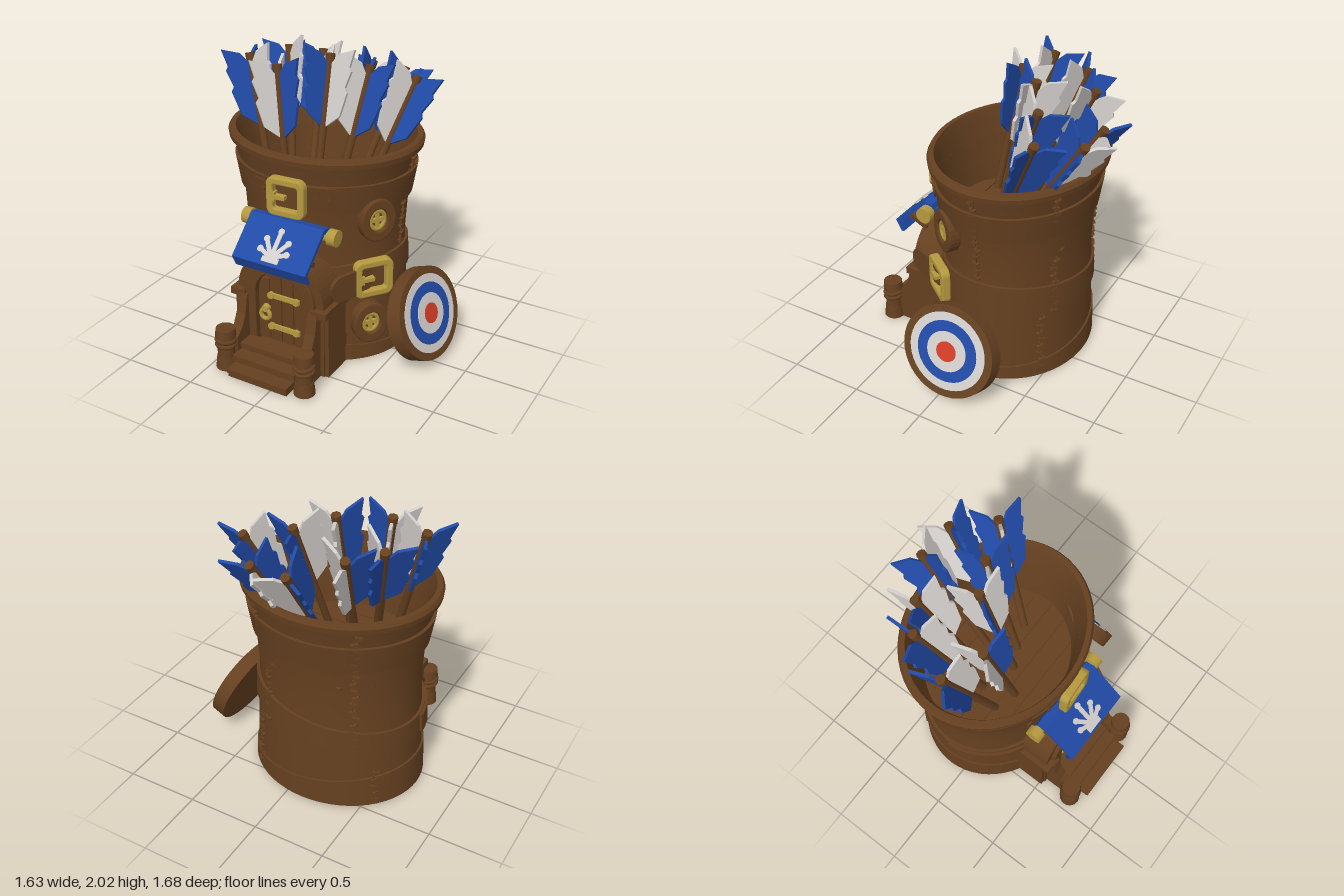
import * as THREE from 'three';
import { toCreasedNormals } from 'three/addons/utils/BufferGeometryUtils.js';

const mat = (name, color) => {
  const m = new THREE.MeshStandardMaterial({ color });
  m.name = name;
  return m;
};
const V = (x, y) => new THREE.Vector2(x, y);

export function createModel() {
  const wood = mat('brown wood', 0x654020), blue = mat('blue', 0x214aa6), white = mat('off white', 0xd2cecb);
  const gold = mat('brass', 0xb5993f), red = mat('red', 0xd23c26);
  const root = new THREE.Group();
  root.name = 'quiverTower';

  const add = (parent, geo, m, name, p = [0, 0, 0], r = [0, 0, 0]) => {
    const mesh = new THREE.Mesh(geo, m);
    mesh.name = name;
    mesh.position.set(...p);
    mesh.rotation.set(...r);
    parent.add(mesh);
    return mesh;
  };
  const group = (parent, name) => {
    const g = new THREE.Group();
    g.name = name;
    parent.add(g);
    return g;
  };
  const box = (w, h, d) => new THREE.BoxGeometry(w, h, d);
  const cyl = (r1, r2, h, n = 20) => new THREE.CylinderGeometry(r1, r2, h, n);
  const extrude = (shape, depth, bevel = 0) => new THREE.ExtrudeGeometry(shape, {
    depth, curveSegments: 14, bevelEnabled: bevel > 0, bevelSize: bevel, bevelThickness: bevel, bevelSegments: 2 });
  // Extrudes a (z, y) outline across x, centred on x = 0
  const extrudeX = (points, width) =>
    extrude(new THREE.Shape(points), width).rotateY(-Math.PI / 2).translate(width / 2, 0, 0);

  // Oval leather body, open at the top
  const CX = -0.12, CZ = -0.105, SZ = 0.86;
  const wall = [[0.585, 0], [0.575, 0.3], [0.56, 0.6], [0.55, 0.8], [0.565, 1.05], [0.595, 1.25], [0.635, 1.41]];
  const rAt = (y) => {
    let i = 0;
    while (i < wall.length - 2 && y > wall[i + 1][1]) i++;
    const [a, b] = [wall[i], wall[i + 1]];
    return a[0] + (b[0] - a[0]) * (y - a[1]) / (b[1] - a[1]);
  };
  const profile = [[0, 0], ...wall, [0.66, 1.415], [0.665, 1.45], [0.65, 1.475], [0.615, 1.475], [0.59, 1.4], [0.53, 0.95], [0, 0.95]];
  const body = toCreasedNormals(new THREE.LatheGeometry(profile.map(p => V(...p)), 56).scale(1, 1, SZ), 0.5);
  add(root, body, wood, 'body', [CX, 0, CZ]);
  for (let i = -3; i <= 3; i++)
    add(root, box(2 * Math.sqrt(0.27 - (i * 0.13 / SZ) ** 2), 0.014, 0.115), wood, 'floorPlank', [CX, 0.953, CZ + i * 0.13]);

  // Strap wrapped around the body; angle 0 is the front, growing toward +x
  const band = (a0, a1, lo, hi, off, n = 56) => {
    const pos = [], sections = [];
    for (let i = 0; i <= n; i++) {
      const a = a0 + (a1 - a0) * i / n, l = lo(a), h = hi(a);
      const at = (r, y) => [CX + r * Math.sin(a), y, CZ + SZ * r * Math.cos(a)];
      sections.push([at(rAt(l) - 0.03, l), at(rAt(l) + off, l), at(rAt(h) + off, h), at(rAt(h) - 0.03, h)]);
    }
    const quad = (a, b, c, d) => pos.push(...a, ...b, ...c, ...a, ...c, ...d);
    for (let i = 0; i < n; i++) {
      const s = sections[i], t = sections[i + 1];
      for (let k = 0; k < 4; k++) quad(s[k], t[k], t[(k + 1) % 4], s[(k + 1) % 4]);
    }
    quad(...sections[0]);
    quad(...[...sections[n]].reverse());
    const g = new THREE.BufferGeometry();
    g.setAttribute('position', new THREE.Float32BufferAttribute(pos, 3));
    return toCreasedNormals(g, 0.6);
  };
  const T = Math.PI * 2;
  const slant = (mid, k) => (a) => mid + k * Math.sin(a);
  add(root, band(0, T, () => 0.002, slant(0.17, -0.08), 0.014), wood, 'baseBand');
  add(root, band(0, T, slant(0.495, 0.065), slant(0.655, 0.085), 0.02), wood, 'lowerBelt');
  add(root, band(0, T, () => 1.09, () => 1.285, 0.022), wood, 'upperBelt');
  // Tapered strap ends
  const tip = (a0, a1, y, h, off) => {
    const half = (a) => h * Math.sqrt(Math.max(0.02, 1 - Math.max(0, (Math.abs(a - a0) / Math.abs(a1 - a0) - 0.7) / 0.3) ** 2));
    const [s, e] = [Math.min(a0, a1), Math.max(a0, a1)];
    return band(s, e, a => y - half(a), a => y + half(a), off, 20);
  };
  add(root, tip(0.05, 0.68, 1.2, 0.085, 0.04), wood, 'upperStrapEnd');
  add(root, tip(-0.1, -0.45, 1.2, 0.06, 0.035), wood, 'upperStrapTail');
  add(root, band(4.75, 5.75, () => 0.43, () => 0.565, 0.04, 16), wood, 'strapFlap');

  // Group standing on the body's surface, its +z pointing outward
  const mount = (name, a, y, off = 0) => {
    const g = group(root, name), r = rAt(y) + off;
    g.position.set(CX + r * Math.sin(a), y, CZ + SZ * r * Math.cos(a));
    g.rotation.y = Math.atan2(Math.sin(a), Math.cos(a) / SZ);
    return g;
  };
  const roundRect = (P, w, h, r) => {
    const s = new P(), x = w / 2 - r, y = h / 2 - r;
    s.absarc(x, y, r, 0, T / 4).absarc(-x, y, r, T / 4, T / 2);
    s.absarc(-x, -y, r, T / 2, T * 0.75).absarc(x, -y, r, T * 0.75, T);
    return s;
  };
  for (const [a, y, off] of [[0.075, 1.205, 0.055], [0.98, 0.64, 0.055]]) {
    const g = mount('buckle', a, y, off);
    const frame = roundRect(THREE.Shape, 0.245, 0.24, 0.04);
    frame.holes.push(roundRect(THREE.Path, 0.19, 0.185, 0.025));
    add(g, extrude(frame, 0.04, 0.01), gold, 'buckleFrame');
    add(g, box(0.11, 0.026, 0.04), gold, 'bucklePin', [-0.055, 0, 0.035]);
    add(g, box(0.03, 0.06, 0.045), gold, 'pinLoop', [-0.085, 0, 0.03]);
    add(g, box(0.2, 0.17, 0.02), wood, 'strapUnderBuckle', [0, 0, -0.005]);
  }
  for (const x of [-0.19, 0.17, 0.25])
    add(mount('beltStud', 0.075 + x / 0.6, 1.205, 0.043), cyl(0.012, 0.012, 0.01, 10).rotateX(T / 4), wood, 'stud');
  // Loose end of the lower strap, reaching forward past the doorway
  add(root, extrude(roundRect(THREE.Shape, 0.34, 0.18, 0.085), 0.025), wood, 'lowerStrapEnd', [0.315, 0.63, 0.335], [0, 1.18, 0]);

  // Round windows: a brass ring and cross over a wooden backing
  const windowRing = new THREE.Shape().absarc(0, 0, 0.13, 0, T);
  windowRing.holes.push(new THREE.Path().absarc(0, 0, 0.085, 0, T));
  for (const [a, y] of [[1.06, 1.03], [0.98, 0.29]]) {
    const g = mount('roundWindow', a, y, 0.01);
    g.scale.set(0.88, 1.05, 1);
    add(g, extrude(windowRing, 0.06, 0.012), wood, 'windowFrame', [0, 0, -0.02]);
    add(g, cyl(0.085, 0.085, 0.03).rotateX(T / 4), wood, 'windowBack', [0, 0, 0]);
    add(g, new THREE.TorusGeometry(0.06, 0.016, 6, 20), gold, 'paneRing', [0, 0, 0.025]);
    add(g, box(0.024, 0.12, 0.022), gold, 'paneBar', [0, 0, 0.024]);
    add(g, box(0.12, 0.024, 0.022), gold, 'paneBar', [0, 0, 0.024]);
  }

  // Stitched seams: [angle, bottom, top]
  for (const [a, lo, hi] of [[1.58, 0.78, 1.4], [2.42, 0.08, 0.5], [2.55, 1.22, 1.4], [2.6, 0.5, 0.9], [3.75, 0.5, 1.4], [4, 0.05, 0.3]])
    for (let y = lo, i = 0; y < hi; y += 0.055, i++) {
      const g = mount('seam', a + 0.02 * Math.sin(i * 2), y, 0.008);
      add(g, box(0.008, 0.056, 0.014), wood, 'seamLine');
      add(g, box(0.045, 0.012, 0.022), wood, 'stitch', [0, 0, 0.004], [0, 0, i % 2 ? 0.3 : -0.25]);
    }

  // Doorway
  const porch = group(root, 'porch');
  porch.position.x = -0.095;
  const arch = (P, half, spring, rise, y0) => {
    const s = new P();
    s.moveTo(-half, y0).lineTo(half, y0).lineTo(half, spring);
    s.absellipse(0, spring, half, rise, 0, T / 2);
    return s.lineTo(-half, y0);
  };
  const archFrame = (outer, inner, rise, innerRise) => {
    const s = arch(THREE.Shape, outer, 0.5, rise, 0);
    s.holes.push(arch(THREE.Path, inner, 0.5, innerRise, 0.02));
    return s;
  };
  add(porch, extrude(archFrame(0.325, 0.2, 0.32, 0.23), 0.3), wood, 'outerArch', [0, 0, 0.23]);
  add(porch, extrude(archFrame(0.26, 0.185, 0.265, 0.2), 0.3, 0.008), wood, 'innerArch', [0, 0, 0.25]);
  add(porch, extrude(arch(THREE.Shape, 0.2, 0.5, 0.22, 0), 0.2), wood, 'doorBack', [0, 0, 0.29]);
  for (let i = 0; i < 4; i++) {
    const x = -0.135 + i * 0.09, h = i % 3 ? 0.53 : 0.45;
    add(porch, box(0.082, h, 0.03), wood, 'doorPlank', [x, 0.16 + h / 2, 0.5]);
  }
  for (const y of [0.265, 0.5]) {
    add(porch, box(0.23, 0.034, 0.016), gold, 'hinge', [0.025, y, 0.523]);
    for (const x of [-0.075, 0.115]) add(porch, cyl(0.024, 0.024, 0.025, 12).rotateX(T / 4), gold, 'hingeBolt', [x, y, 0.525]);
  }
  add(porch, new THREE.TorusGeometry(0.034, 0.015, 8, 18), gold, 'knockerRing', [-0.115, 0.35, 0.535]);
  add(porch, cyl(0.022, 0.028, 0.04, 12).rotateX(T / 4), gold, 'knockerBoss', [-0.115, 0.395, 0.53]);
  add(porch, box(0.7, 0.21, 0.3), wood, 'plinth', [0, 0.105, 0.35]);
  const wing = [V(0.3, 0), V(0.7, 0), V(0.7, 0.22), V(0.64, 0.27), V(0.6, 0.35), V(0.575, 0.48), V(0.3, 0.48)];
  for (const s of [-1, 1]) {
    add(porch, extrudeX(wing, 0.07), wood, 'sideWall', [s * 0.265, 0, 0]);
    add(porch, box(0.11, 0.05, 0.32), wood, 'capital', [s * 0.305, 0.48, 0.41]);
    add(porch, box(0.08, 0.46, 0.22), wood, 'pillar', [s * 0.315, 0.23, 0.41]);
    // Gate posts bound with rope
    const post = group(porch, 'gatePost');
    post.position.set(s * 0.3, 0, 0.735);
    add(post, cyl(0.062, 0.072, 0.09, 14), wood, 'postFoot', [0, 0.045, 0]);
    add(post, cyl(0.055, 0.06, 0.25, 14), wood, 'postShaft', [0, 0.125, 0]);
    add(post, cyl(0.064, 0.07, 0.06, 14), wood, 'postCap', [0, 0.265, 0]);
    for (const y of [0.17, 0.205])
      add(post, new THREE.TorusGeometry(0.06, 0.015, 6, 18), wood, 'rope', [0, y, 0], [T / 4 + 0.12 * s, 0, 0]);
  }
  [[0.055, 0.84, 0.445], [0.11, 0.755, 0.46], [0.16, 0.67, 0.47]].forEach(([h, z, w]) => {
    add(porch, box(w, h - 0.02, z - 0.42), wood, 'stepRiser', [0, h / 2 - 0.01, z / 2 + 0.2]);
    add(porch, box(w + 0.01, 0.03, 0.12), wood, 'stepTread', [0, h - 0.01, z - 0.06]);
  });

  // Awning hung from a brass rod
  const awning = group(root, 'awning');
  awning.position.x = -0.08;
  add(awning, cyl(0.034, 0.034, 0.66).rotateZ(T / 4), gold, 'rod', [0, 0.975, 0.41]);
  for (const s of [-1, 1]) {
    add(awning, cyl(0.055, 0.055, 0.06).rotateZ(T / 4), gold, 'rodCap', [s * 0.315, 0.975, 0.41]);
    add(awning, box(0.03, 0.03, 0.16), wood, 'strut', [s * 0.2, 0.82, 0.55], [-0.46, 0, 0]);
  }
  const cloth = [V(0.37, 0.96), V(0.39, 1.025), V(0.45, 1.035), V(0.685, 0.82), V(0.645, 0.74), V(0.625, 0.74), V(0.66, 0.81), V(0.445, 1.005), V(0.4, 0.96)];
  add(awning, extrudeX(cloth, 0.54), blue, 'cloth');
  // Simple crown motif
  const crown = group(awning, 'crownMotif');
  crown.position.set(0, 0.914, 0.589);
  crown.rotation.x = -0.83;
  add(crown, box(0.12, 0.036, 0.008), white, 'crownBase', [0, -0.095, 0]);
  for (const [ang, len] of [[0, 0.18], [0.6, 0.14], [-0.6, 0.14], [1.15, 0.105], [-1.15, 0.105]]) {
    const p = group(crown, 'crownPoint');
    p.position.y = -0.08;
    p.rotation.z = ang;
    add(p, box(0.03, len, 0.008), white, 'crownSpike', [0, len / 2, 0]);
    add(p, cyl(0.022, 0.022, 0.008, 12).rotateX(T / 4), white, 'crownBead', [0, len, 0]);
  }

  // Archery target leaning on the side
  const target = group(root, 'target');
  target.position.set(0.662, 0.315, -0.04);
  target.rotation.set(0, -0.08, 0.37);
  target.scale.y = 0.885;
  const disc = (r, h) => cyl(r, r, h, 40).rotateZ(-T / 4);
  add(target, disc(0.345, 0.1), wood, 'targetBoard');
  [[0.29, white], [0.228, blue], [0.15, white], [0.075, red]].forEach(([r, m], i) =>
    add(target, disc(r, 0.006), m, 'targetRing', [0.05 + i * 0.004, 0, 0]));
  for (let i = 0; i < 10; i++)
    add(target, disc(0.01, 0.02), wood, 'targetNail', [0.043, 0.318 * Math.sin(i * T / 10), 0.318 * Math.cos(i * T / 10)]);

  // Arrows fanned out of the quiver: [nock x, y, z, turn in degrees, colours of the back, left and right vane]
  const vaneShape = new THREE.Shape([[0.01, -0.47], [0.12, -0.38], [0.16, -0.22], [0.14, -0.19], [0.175, -0.08], [0.158, -0.055],
    [0.185, 0.06], [0.07, 0.02], [0.01, -0.06]].map(p => V(...p)));
  const vane = extrude(vaneShape, 0.02).translate(0, 0, -0.01);
  const arrows = [[-0.67, 1.88, -0.06, 20, 'bbw'], [-0.4, 1.87, 0.03, 20, 'wwb'], [-0.14, 1.92, -0.2, 25, 'wbw'],
    [0.08, 1.84, -0.33, 20, 'bwb'], [0.36, 1.78, -0.45, 20, 'bwb'], [0.16, 1.74, -0.68, 40, 'wbb'], [-0.09, 1.74, -0.69, -60, 'wbb'],
    [-0.37, 1.83, -0.5, 10, 'wbw'], [-0.55, 1.87, -0.36, 0, 'bbw']];
  const up = new THREE.Vector3(0, 1, 0);
  for (const [x, y, z, turn, colours] of arrows) {
    const top = new THREE.Vector3(x, y, z);
    const foot = new THREE.Vector3(-0.1 + 0.55 * (x + 0.1), 1, 0.13 + z * 0.5);
    const len = top.distanceTo(foot);
    const g = group(root, 'arrow');
    g.position.copy(top);
    g.quaternion.setFromUnitVectors(up, top.clone().sub(foot).normalize());
    g.rotateY((90 + turn) * T / 360);
    add(g, cyl(0.026, 0.026, len, 8), wood, 'arrowShaft', [0, -len / 2, 0]);
    add(g, cyl(0.032, 0.03, 0.05, 8), wood, 'arrowNock', [0, -0.01, 0]);
    [...colours].forEach((c, i) => add(g, vane, c === 'b' ? blue : white, 'feather', [0, 0, 0], [0, i * T / 3, 0]));
  }
  return root;
}
